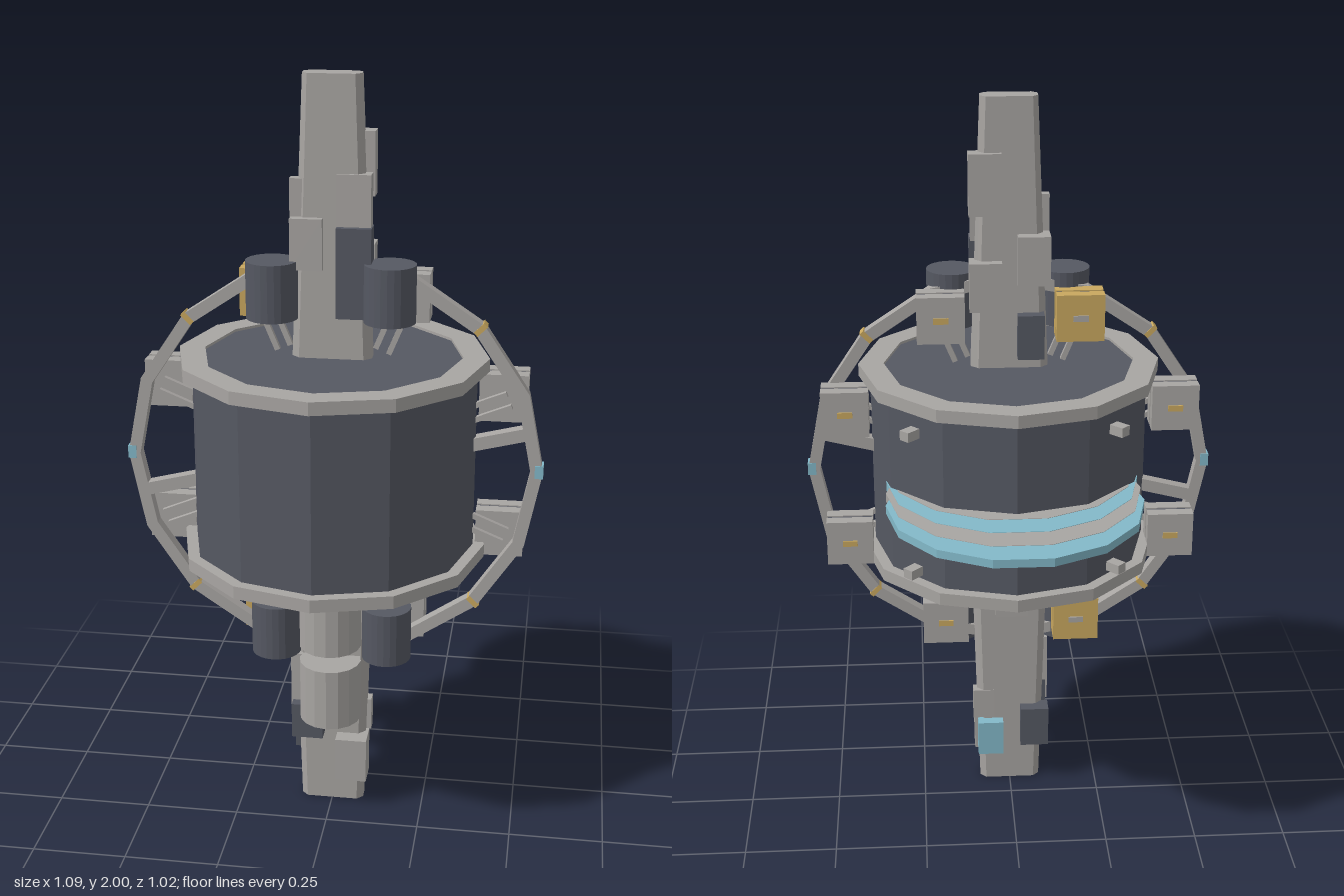
import * as THREE from 'three';

const CZ = 0.105; // depth of the spine and drum axis

function paint(name, hex) {
  const m = new THREE.MeshStandardMaterial({ color: hex, flatShading: true });
  m.name = name;
  return m;
}

export function createModel() {
  const root = new THREE.Group();
  const grey = paint('hullGrey', 0xa8a5a2);
  const dark = paint('slateDark', 0x555862);
  const blue = paint('paleBlue', 0x83b9c9);
  const gold = paint('gold', 0xc9a85f);

  function add(name, geo, mat, x = 0, y = 0, z = 0) {
    const m = new THREE.Mesh(geo, mat);
    m.name = name;
    m.position.set(x, y, z);
    root.add(m);
    return m;
  }
  // box given by its extents
  function slab(name, mat, x0, x1, y0, y1, z0, z1) {
    return add(name, new THREE.BoxGeometry(x1 - x0, y1 - y0, z1 - z0), mat,
      (x0 + x1) / 2, (y0 + y1) / 2, (z0 + z1) / 2);
  }
  // square beam between two points in the plane of depth z
  function beam(name, mat, x0, y0, x1, y1, z, t) {
    const b = add(name, new THREE.BoxGeometry(Math.hypot(x1 - x0, y1 - y0), t, t), mat,
      (x0 + x1) / 2, (y0 + y1) / 2, z);
    b.rotation.z = Math.atan2(y1 - y0, x1 - x0);
  }

  // central drum with a flange at each end
  add('drum', new THREE.CylinderGeometry(0.37, 0.37, 0.48, 12), dark, 0, 1.024, CZ);
  add('drumCaps', new THREE.CylinderGeometry(0.345, 0.345, 0.53, 12), dark, 0, 1.024, CZ);
  const rim = [[0.333, 0], [0.4, 0], [0.4, 0.034], [0.333, 0.034], [0.333, 0]]
    .map(([x, y]) => new THREE.Vector2(x, y));
  for (const y of [0.752, 1.262]) add('drumFlange', new THREE.LatheGeometry(rim, 12), grey, 0, y, CZ);

  // small boxes on the back of the drum wall
  for (const sx of [-1, 1]) for (const y of [0.81, 1.2]) {
    const b = add('drumFitting', new THREE.BoxGeometry(0.03, 0.026, 0.05), grey, sx * 0.264, y, CZ - 0.264);
    b.rotation.y = sx * -Math.PI / 4;
  }

  // tapered spine with chamfered corners
  const s = new THREE.Shape();
  [[-0.114, -0.018], [-0.092, -0.038], [0.092, -0.038], [0.114, -0.018],
    [0.114, 0.018], [0.092, 0.038], [-0.092, 0.038], [-0.114, 0.018]]
    .forEach(([x, y], i) => (i ? s.lineTo(x, y) : s.moveTo(x, y)));
  const spine = new THREE.ExtrudeGeometry(s, { depth: 2, steps: 2, bevelEnabled: false });
  spine.rotateX(-Math.PI / 2);
  const p = spine.attributes.position;
  for (let i = 0; i < p.count; i++) {
    const y = p.getY(i), k = Math.abs(y - 1);
    p.setX(i, p.getX(i) * (1 - k * (y > 1 ? 0.36 : 0.25)));
    p.setZ(i, p.getZ(i) * (1 - k * 0.2));
  }
  add('spine', spine, grey, 0, 0, CZ);

  // equipment plates on the front of the spine
  const F = CZ;
  slab('frontPlate', grey, -0.102, -0.02, 1.52, 1.65, F, 0.158);
  slab('frontPlate', grey, -0.105, -0.06, 1.63, 1.745, F, 0.132);
  slab('frontPlate', grey, 0.015, 0.1, 1.625, 1.76, F, 0.145);
  slab('frontPlate', dark, 0.015, 0.103, 1.4, 1.63, F, 0.162);
  slab('frontPlate', grey, 0.015, 0.1, 0.085, 0.21, F, 0.18);
  slab('frontPlate', dark, -0.105, -0.02, 0.21, 0.31, F, 0.178);
  slab('frontPlate', grey, -0.11, -0.03, 0.25, 0.45, F, 0.15);
  // equipment plates on the back of the spine
  slab('backPlate', grey, 0.02, 0.105, 1.7, 1.86, 0.058, F);
  slab('backPlate', grey, -0.105, -0.02, 1.52, 1.65, 0.04, F);
  slab('backPlate', grey, 0.02, 0.105, 1.45, 1.58, 0.045, F);
  slab('backPlate', dark, -0.09, -0.02, 1.32, 1.44, 0.04, F);
  slab('backPlate', grey, -0.05, 0.04, 0.55, 0.74, 0.05, F);
  slab('backPlate', blue, 0.02, 0.092, 0.1, 0.205, 0.045, 0.09);
  slab('backPlate', dark, -0.11, -0.03, 0.13, 0.25, 0.04, 0.09);
  slab('backPlate', grey, 0.045, 0.105, 0.21, 0.3, 0.07, F);

  // stack of tanks in front of the lower spine
  for (const [y0, y1] of [[0.7, 0.77], [0.495, 0.66], [0.28, 0.45]])
    add('lowerTank', new THREE.CylinderGeometry(0.083, 0.083, y1 - y0, 16), grey, 0, (y0 + y1) / 2, 0.164);

  // dark side tanks, above and below the drum
  for (const sx of [-1, 1]) for (const y of [0.535, 1.468])
    add('sideTank', new THREE.CylinderGeometry(0.066, 0.066, 0.148, 24), dark, sx * 0.149, y, 0.146);

  // upright sixteen-sided ring
  const ring = new THREE.Shape(), hole = new THREE.Path();
  for (let i = 0; i < 16; i++) {
    const a = i * Math.PI / 8, c = Math.cos(a), n = Math.sin(a);
    if (i) { ring.lineTo(0.545 * c, 0.545 * n); hole.lineTo(0.513 * c, 0.513 * n); }
    else { ring.moveTo(0.545, 0); hole.moveTo(0.513, 0); }
  }
  ring.closePath();
  hole.closePath();
  ring.holes.push(hole);
  add('ring', new THREE.ExtrudeGeometry(ring, { depth: 0.034, bevelEnabled: false }), grey, 0, 1, CZ - 0.017);

  // ring lights
  for (const sx of [-1, 1]) {
    slab('ringTipLight', blue, sx * 0.535 - 0.011, sx * 0.535 + 0.011, 0.985, 1.02, CZ - 0.019, CZ + 0.019);
    for (const sy of [-1, 1]) {
      const l = add('ringLight', new THREE.BoxGeometry(0.036, 0.014, 0.037), gold, sx * 0.375, 1 + sy * 0.375, CZ);
      l.rotation.z = sx * sy * Math.PI / 4;
    }
  }

  // spokes between ring and drum, turned half round from side to side
  for (const k of [-1, 1]) beam('spoke', grey, k * 0.34, 1 + k * 0.062, k * 0.51, 1 + k * 0.105, CZ, 0.034);

  // modules hung on the back of the ring, each with two short struts
  for (let i = 0; i < 8; i++) {
    const a = (i + 0.5) * Math.PI / 4, c = Math.cos(a), n = Math.sin(a);
    const inner = Math.abs(c) < 0.5;
    const x = Math.sign(c) * (inner ? 0.181 : 0.437), y = 1 + Math.sign(n) * (inner ? 0.441 : 0.187);
    const body = inner && c < 0 ? gold : grey, mark = body === gold ? grey : gold;
    const h = 0.0625;
    slab('modulePlate', body, x - h, x + h, y - h, y + h, 0.01, 0.044);
    slab('moduleSeam', dark, x - h + 0.003, x + h - 0.003, y - h + 0.003, y + h - 0.003, 0.044, 0.055);
    slab('modulePlate', body, x - h, x + h, y - h, y + h, 0.055, 0.091);
    slab('moduleMark', mark, x - 0.02, x + 0.02, y - 0.008, y + 0.008, 0.006, 0.012);
    for (const o of [-0.018, 0.018])
      beam('moduleStrut', grey, 0.33 * c - o * n, 1 + 0.33 * n + o * c,
        0.49 * c - o * n, 1 + 0.49 * n + o * c, CZ, 0.014);
  }

  // overlapping discs behind the drum, stepped forward to form crescent bands
  [blue, grey, blue, grey].forEach((mat, i) => {
    const g = new THREE.CylinderGeometry(0.333, 0.333, 0.022 + i * 0.002, 14);
    g.rotateY(Math.PI / 14);
    add('crescentDisc', g, mat, 0, 1.004, -0.188 + i * 0.073);
  });

  return root;
}
